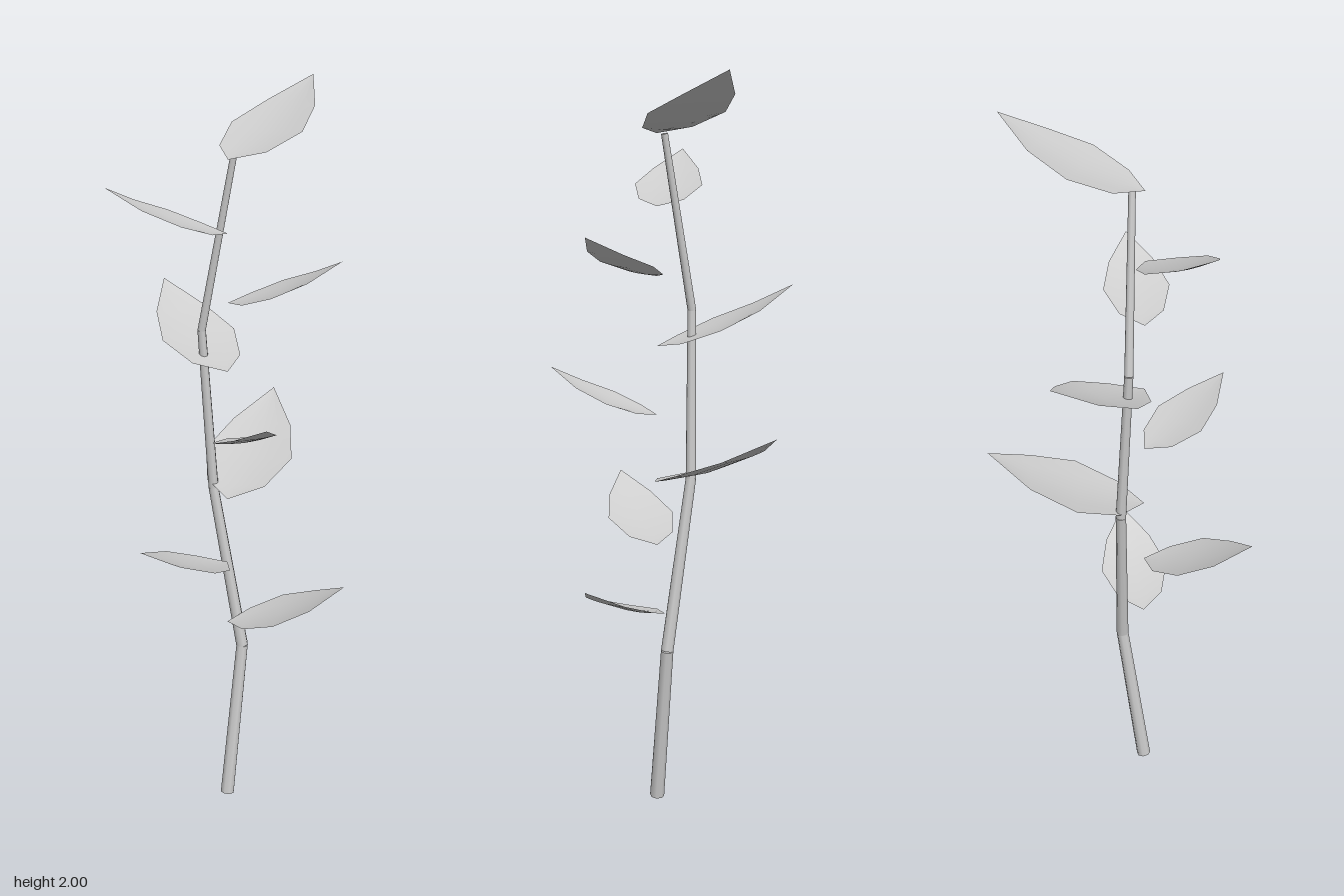
import * as THREE from 'three';

const material = new THREE.MeshStandardMaterial({ color: 0xcccccc, side: THREE.DoubleSide });
material.name = 'plain grey';

// Stem joints [x, y, z, radius], from the foot to the top
const JOINTS = [
  [0, 0.005, 0.035, 0.02],
  [0.055, 0.46, 0, 0.017],
  [-0.01, 0.93, -0.057, 0.014],
  [-0.042, 1.38, -0.055, 0.0115],
  [0.022, 1.84, 0.01, 0.009],
];

// Leaves [base y, tip x, tip y, tip z], all springing from x = 0, z = BASE_Z
const BASE_Z = 0.033;
const LEAVES = [
  [0.56, 0.28, 0.695, 0.187],
  [0.743, -0.282, 0.877, 0.172],
  [0.93, 0.25, 1.105, -0.297],
  [1.105, 0.005, 1.23, 0.317],
  [1.29, -0.065, 1.45, -0.32],
  [1.475, 0.25, 1.6, 0.18],
  [1.655, -0.305, 1.785, -0.003],
  [1.84, 0.302, 2.0, -0.175],
];

// Leaf outline: [fraction of length, half width / length]
const OUTLINE = [[0, 0], [0.165, 0.197], [0.44, 0.298], [0.733, 0.2], [1, 0]];

function stemSegment(a, b) {
  const from = new THREE.Vector3(a[0], a[1], a[2]);
  const to = new THREE.Vector3(b[0], b[1], b[2]);
  const axis = to.clone().sub(from);
  const mesh = new THREE.Mesh(new THREE.CylinderGeometry(b[3], a[3], axis.length(), 8), material);
  mesh.position.copy(from).add(to).multiplyScalar(0.5);
  mesh.quaternion.setFromUnitVectors(new THREE.Vector3(0, 1, 0), axis.normalize());
  return mesh;
}

// Pointed blade, sagging along its midrib and gently cupped across
function leafGeometry([baseY, tipX, tipY, tipZ]) {
  const dx = tipX, dz = tipZ - BASE_Z, rise = tipY - baseY;
  const length = Math.hypot(dx, dz);
  const columns = 4;
  const positions = [], index = [];
  for (const [t, half] of OUTLINE) {
    for (let c = 0; c <= columns; c++) {
      const s = (c / columns) * 2 - 1;
      const across = s * half;
      const sag = 0.68 * t * (1 - t);
      const cup = 0.034 * length * (across / 0.298) ** 2;
      positions.push(dx * t - dz * across, baseY + rise * (t - sag) + cup, BASE_Z + dz * t + dx * across);
    }
  }
  const row = columns + 1;
  for (let r = 0; r < OUTLINE.length - 1; r++) {
    for (let c = 0; c < columns; c++) {
      const a = r * row + c, b = a + 1, d = a + row, e = d + 1;
      if (r > 0) index.push(a, b, d);
      if (r < OUTLINE.length - 2) index.push(b, e, d);
      // the base fan and the tip fan each need one triangle per column
    }
  }
  const geometry = new THREE.BufferGeometry();
  geometry.setAttribute('position', new THREE.Float32BufferAttribute(positions, 3));
  geometry.setIndex(index);
  geometry.computeVertexNormals();
  return geometry;
}

export function createModel() {
  const model = new THREE.Group();
  model.name = 'leafyTwig';

  const stem = new THREE.Group();
  stem.name = 'stem';
  for (let i = 0; i < JOINTS.length - 1; i++) {
    const segment = stemSegment(JOINTS[i], JOINTS[i + 1]);
    segment.name = `stemSegment${i + 1}`;
    stem.add(segment);
  }
  model.add(stem);

  LEAVES.forEach((spec, i) => {
    const leaf = new THREE.Mesh(leafGeometry(spec), material);
    leaf.name = `leaf${i + 1}`;
    model.add(leaf);
  });
  return model;
}
